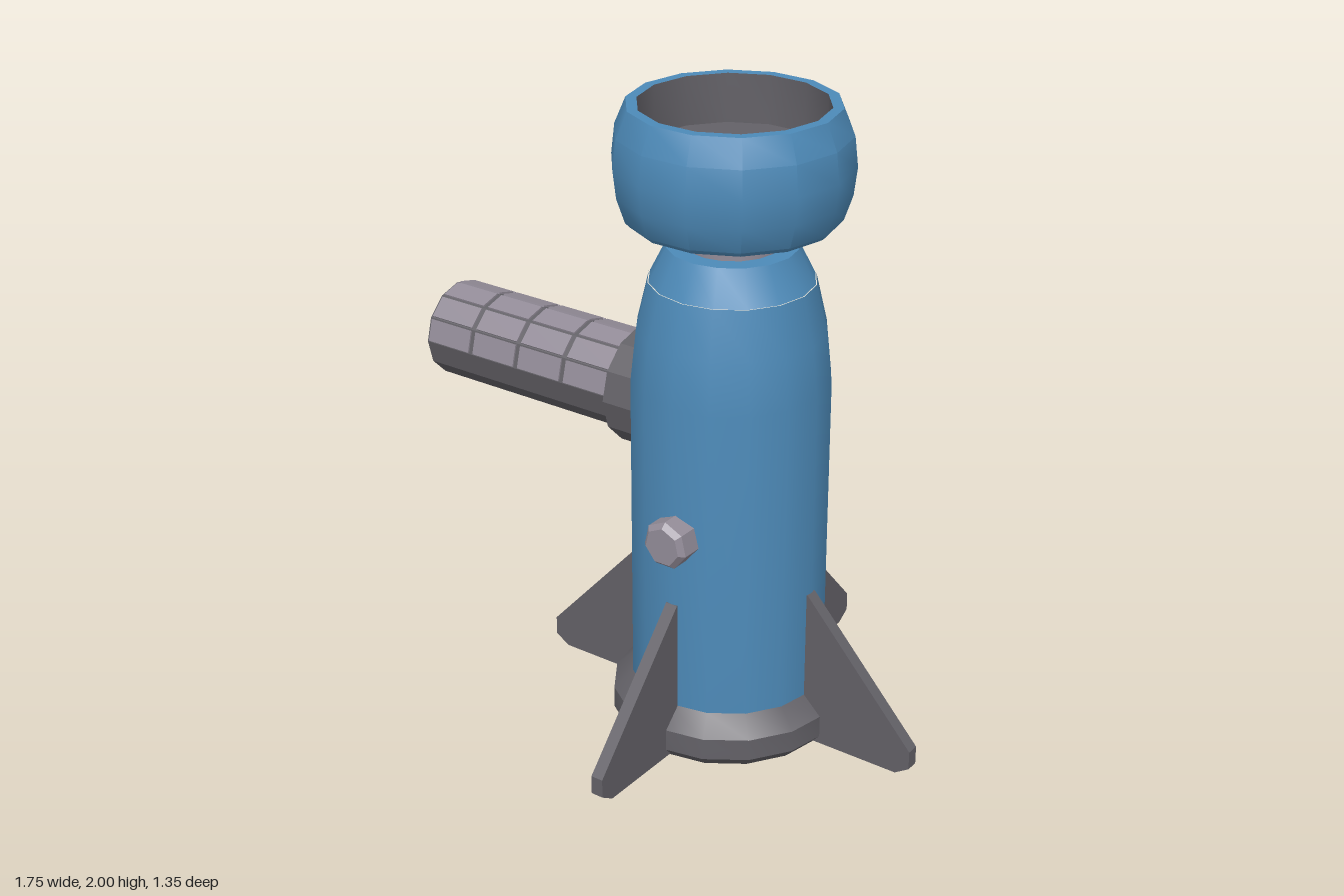
import * as THREE from 'three';
import { toCreasedNormals } from 'three/addons/utils/BufferGeometryUtils.js';

const material = (name, color) => {
  const m = new THREE.MeshStandardMaterial({ color });
  m.name = name;
  return m;
};

// Lathe with smooth sides and sharp steps
const turned = (points, sides, crease = 0.5) => toCreasedNormals(
  new THREE.LatheGeometry(points.map(([r, y]) => new THREE.Vector2(r, y)), sides), crease);

export function createModel() {
  const blue = material('blue paint', 0x4d8ab8);
  const dark = material('dark grey metal', 0x636167);
  const light = material('light grey metal', 0x938c98);

  const model = new THREE.Group();
  model.name = 'finnedCanister';
  const centre = new THREE.Group();
  centre.name = 'mainAssembly';
  centre.position.x = 0.197;
  model.add(centre);

  const add = (name, geometry, mat, parent = centre) => {
    const mesh = new THREE.Mesh(geometry, mat);
    mesh.name = name;
    parent.add(mesh);
    return mesh;
  };

  // Base ring, body and neck
  add('baseRing', turned([[0, 0], [0.33, 0], [0.362, 0.035], [0.362, 0.105], [0.302, 0.163], [0.2, 0.163]], 16), dark);
  add('body', turned([[0.302, 0.14], [0.302, 1.16], [0.285, 1.32], [0.25, 1.47]], 16), blue);
  add('shoulder', turned([[0.247, 1.47], [0.195, 1.575], [0, 1.575]], 16), blue);
  add('neck', turned([[0.14, 1.55], [0.14, 1.67]], 16), light);

  // Rounded cup on top with a recessed grey interior
  const cup = add('topCup', turned([
    [0, 1.655], [0.305, 1.655], [0.32, 1.67], [0.345, 1.745], [0.355, 1.83],
    [0.345, 1.92], [0.312, 2], [0.28, 2],
  ], 14), blue);
  const bowl = add('cupInterior', turned([[0.28, 2], [0.28, 1.85], [0, 1.85]], 14), dark);
  cup.rotation.y = bowl.rotation.y = Math.PI / 2;

  // Four swept fins
  const fin = new THREE.Shape([[0.2, 0.01], [0.63, 0.01], [0.677, 0.04], [0.677, 0.1], [0.302, 0.515], [0.2, 0.515]]
    .map(([x, y]) => new THREE.Vector2(x, y)));
  const finGeometry = new THREE.ExtrudeGeometry(fin, { depth: 0.04, bevelEnabled: false });
  finGeometry.translate(0, 0, -0.02);
  for (let i = 0; i < 4; i++) {
    add('fin', finGeometry, dark).rotation.y = i * Math.PI / 2;
  }

  // Chamfered bolts front and back
  const boltGeometry = turned([[0.076, 0.25], [0.076, 0.35], [0.06, 0.367], [0, 0.367]], 7, 0.2);
  boltGeometry.rotateX(Math.PI / 2);
  boltGeometry.rotateZ(Math.PI);
  for (const turn of [0, Math.PI]) {
    const bolt = add(turn ? 'backBolt' : 'frontBolt', boltGeometry, light);
    bolt.position.set(0.012, 0.742, 0);
    bolt.rotation.y = turn;
  }

  // Side arm, built upright and laid over towards -x
  const arm = new THREE.Group();
  arm.name = 'sideArm';
  arm.position.y = 1.045;
  arm.rotation.z = Math.PI / 2;
  model.add(arm);
  add('armCollar', turned([[0.184, -0.03], [0.184, 0.145], [0, 0.145]], 12, 0.2), dark, arm);
  add('armTube', turned([[0.152, 0.12], [0.152, 0.872], [0.142, 0.872]], 12, 0.2), dark, arm);
  add('armTubeInterior', turned([[0.142, 0.872], [0.142, 0.15], [0, 0.15]], 12, 0.6), light, arm);

  // Grid of plates over the upper half of the arm
  const plate = new THREE.BoxGeometry(0.07, 0.163, 0.009);
  for (let row = 0; row < 6; row++) {
    const angle = (row + 0.5) * Math.PI / 6;
    for (let col = 0; col < 4; col++) {
      const mesh = add('armPlate', plate, light, arm);
      mesh.position.set(Math.sin(angle) * 0.148, 0.239 + col * 0.181, Math.cos(angle) * 0.148);
      mesh.rotation.y = angle;
    }
  }
  return model;
}
